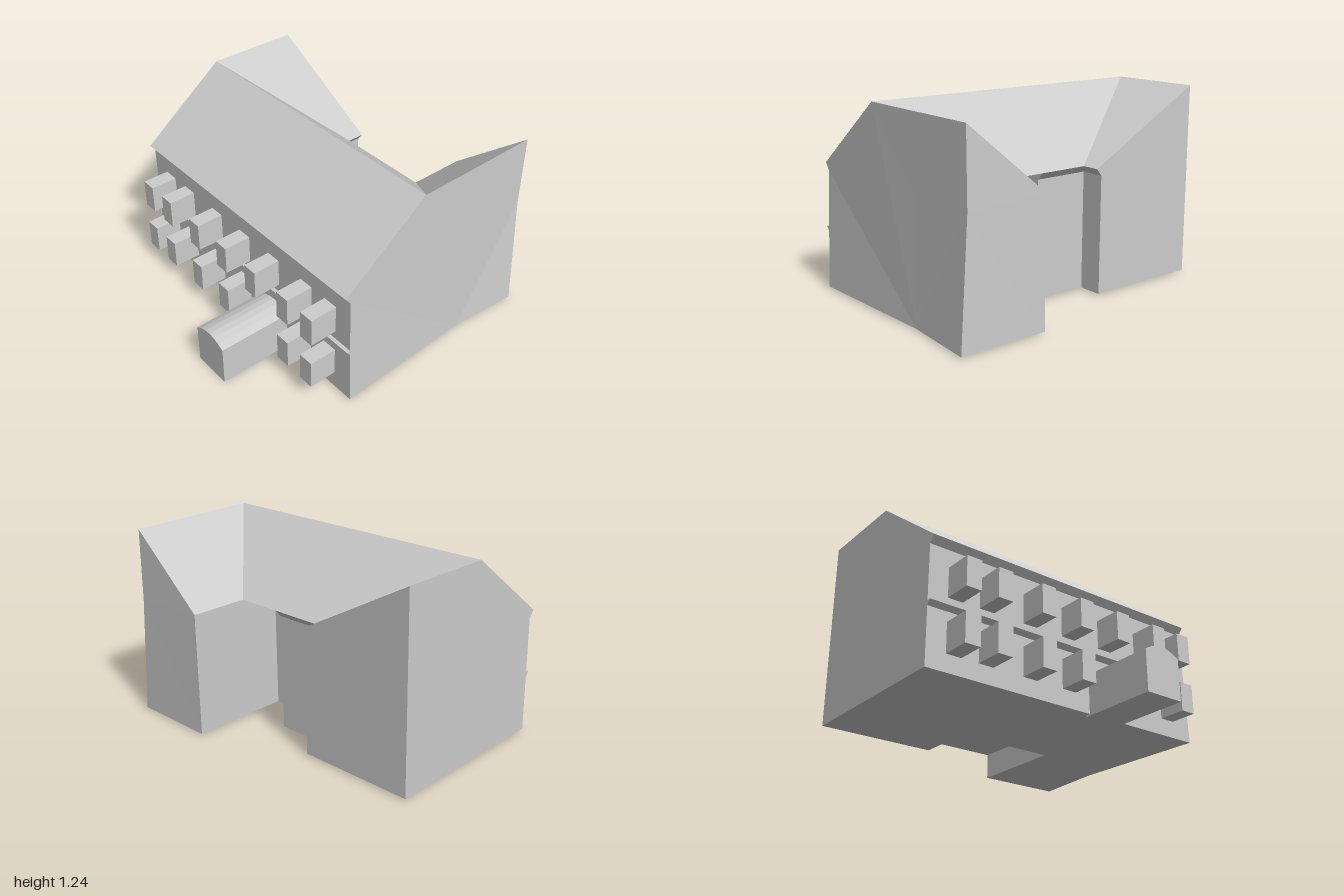
import * as THREE from 'three';

const wallMat = new THREE.MeshStandardMaterial({ color: 0xcccccc });
wallMat.name = 'pale grey';

// Triangulates corner loops; each face is [outward hint, ...corners]
function faces(name, list) {
  const pos = [];
  for (const [hint, ...pts] of list) {
    const out = new THREE.Vector3(...hint);
    const size = hint.map(Math.abs);
    const drop = size.indexOf(Math.max(...size));
    const axes = [0, 1, 2].filter((i) => i !== drop);
    const flat = pts.map((p) => new THREE.Vector2(p[axes[0]], p[axes[1]]));
    for (const tri of THREE.ShapeUtils.triangulateShape(flat, [])) {
      const [a, b, c] = tri.map((i) => new THREE.Vector3(...pts[i]));
      const n = b.clone().sub(a).cross(c.clone().sub(a));
      const order = n.dot(out) < 0 ? [a, c, b] : [a, b, c];
      order.forEach((v) => pos.push(v.x, v.y, v.z));
    }
  }
  const geo = new THREE.BufferGeometry();
  geo.setAttribute('position', new THREE.Float32BufferAttribute(pos, 3));
  geo.computeVertexNormals();
  const mesh = new THREE.Mesh(geo, wallMat);
  mesh.name = name;
  return mesh;
}

export function createModel() {
  const g = new THREE.Group();
  g.name = 'building';
  const X = [1, 0, 0], nX = [-1, 0, 0], Z = [0, 0, 1], nZ = [0, 0, -1];
  const base = 0.01, soffit = 0.755, eave = 0.8, top = 1.24;

  // Key corners
  const ridgeL = [-1, top, -0.07], ridgeR = [0.97, top, -0.07];
  const ridgeLB = [-1, top, -0.685], ridgeRB = [0.95, 1.23, -0.94];
  const eaveFL = [-1, eave, 0.5], eaveFR = [0.97, eave, 0.5];
  const valleyL = [-0.2, eave, -0.57], valleyR = [0.43, eave, -0.57];
  const wingLEave = [-0.2, eave, -0.685], wingREave = [0.43, eave, -0.95];
  const frontL = [-1, base, 0.465], frontR = [1, base, 0.465];
  const frontLT = [-1, soffit, 0.465], frontRT = [0.97, soffit, 0.465];
  const kinkLow = [0.965, base, -0.48], kinkHigh = [0.96, 0.77, -0.48];
  const backR = [1, base, -0.95], backRT = [0.95, 0.77, -0.945];

  // Roof slopes of the main range and both rear wings
  g.add(faces('roof', [
    [[0, 1, 0.8], eaveFL, eaveFR, ridgeR, ridgeL],
    [[0, 1, -0.8], ridgeL, ridgeR, valleyR, valleyL],
    [[0.5, 1, 0], ridgeL, valleyL, wingLEave, ridgeLB],
    [[-0.8, 1, 0], ridgeR, ridgeRB, wingREave, valleyR],
  ]));

  // Sloping undersides of the eaves
  g.add(faces('eaves', [
    [[0, -0.7, 1], frontLT, frontRT, eaveFR, eaveFL],
    [[0, -0.7, -1], [-0.235, soffit, -0.53], [0.13, soffit, -0.53], [0.13, eave, -0.57], valleyL],
    [[1, -0.7, 0], [-0.235, soffit, -0.685], wingLEave, valleyL, [-0.235, soffit, -0.53]],
  ]));

  g.add(faces('frontWall', [[Z, frontL, frontR, frontRT, frontLT]]));
  g.add(faces('leftEndWall', [
    [nX, frontL, frontLT, eaveFL, ridgeL, ridgeLB, [-1, base, -0.685]],
  ]));
  g.add(faces('rightEndWall', [
    [X, frontR, kinkLow, kinkHigh, ridgeR, eaveFR, frontRT],
    [X, kinkLow, backR, backRT, kinkHigh],
    [X, kinkHigh, backRT, ridgeRB, ridgeR],
  ]));

  // Rear walls, with the recess beside the longer wing
  g.add(faces('rearWalls', [
    [nZ, [-1, base, -0.685], [-0.235, base, -0.685], [-0.235, soffit, -0.685], wingLEave, ridgeLB],
    [nZ, backR, [0.43, base, -0.95], wingREave, ridgeRB, backRT],
    [X, [-0.235, base, -0.685], [-0.235, base, -0.53], [-0.235, soffit, -0.53], [-0.235, soffit, -0.685]],
    [nZ, [-0.235, base, -0.53], [0.13, base, -0.53], [0.13, soffit, -0.53], [-0.235, soffit, -0.53]],
    [X, [0.13, base, -0.3], [0.13, base, -0.53], [0.13, soffit, -0.53], [0.13, eave, -0.57], [0.13, eave, -0.3]],
    [nZ, [0.13, base, -0.3], [0.43, base, -0.3], [0.43, eave, -0.3], [0.13, eave, -0.3]],
    [nX, [0.43, base, -0.3], [0.43, base, -0.95], wingREave, [0.43, eave, -0.3]],
    [[0, -1, 0], [0.13, eave, -0.3], [0.43, eave, -0.3], valleyR, [0.13, eave, -0.57]],
  ]));

  // Floor outline
  const plan = [[-1, 0.465], [1, 0.465], [0.965, -0.48], [1, -0.95], [0.43, -0.95], [0.43, -0.3],
    [0.13, -0.3], [0.13, -0.53], [-0.235, -0.53], [-0.235, -0.685], [-1, -0.685]];
  g.add(faces('floor', [[[0, -1, 0], ...plan.map(([x, z]) => [x, base, z])]]));

  // String course between the storeys
  const r = 0.985;
  g.add(faces('stringCourse', [
    [[0, -0.7, 1], [-1, 0.37, 0.465], [r, 0.37, 0.465], [r, 0.4, 0.49], [-1, 0.4, 0.49]],
    [[0, 1, 0], [-1, 0.4, 0.465], [-1, 0.4, 0.49], [r, 0.4, 0.49], [r, 0.4, 0.465]],
    [X, [r, 0.37, 0.465], [r, 0.4, 0.49], [r, 0.4, 0.465]],
    [nX, [-1, 0.37, 0.465], [-1, 0.4, 0.49], [-1, 0.4, 0.465]],
  ]));

  // Projecting window boxes; the porch replaces one on the lower storey
  const windowGeo = new THREE.BoxGeometry(0.1, 0.188, 0.185);
  const columns = [-0.82, -0.605, -0.295, -0.005, 0.285, 0.59, 0.805];
  for (const y of [0.55, 0.214]) {
    for (const x of columns) {
      if (y < 0.3 && x === 0.285) continue;
      const w = new THREE.Mesh(windowGeo, wallMat);
      w.name = 'window';
      w.position.set(x, y, 0.5525);
      g.add(w);
    }
  }

  // Arched entrance porch
  const arch = new THREE.Shape();
  arch.moveTo(0.15, 0);
  arch.lineTo(0.408, 0);
  arch.lineTo(0.408, 0.262);
  for (let i = 1; i <= 6; i++) {
    const t = 1 - i / 3;
    arch.lineTo(0.279 + 0.129 * t, 0.262 + 0.043 * (1 - t * t));
  }
  const porch = new THREE.Mesh(
    new THREE.ExtrudeGeometry(arch, { depth: 0.52, bevelEnabled: false }), wallMat);
  porch.name = 'porch';
  porch.position.z = 0.43;
  g.add(porch);
  return g;
}
